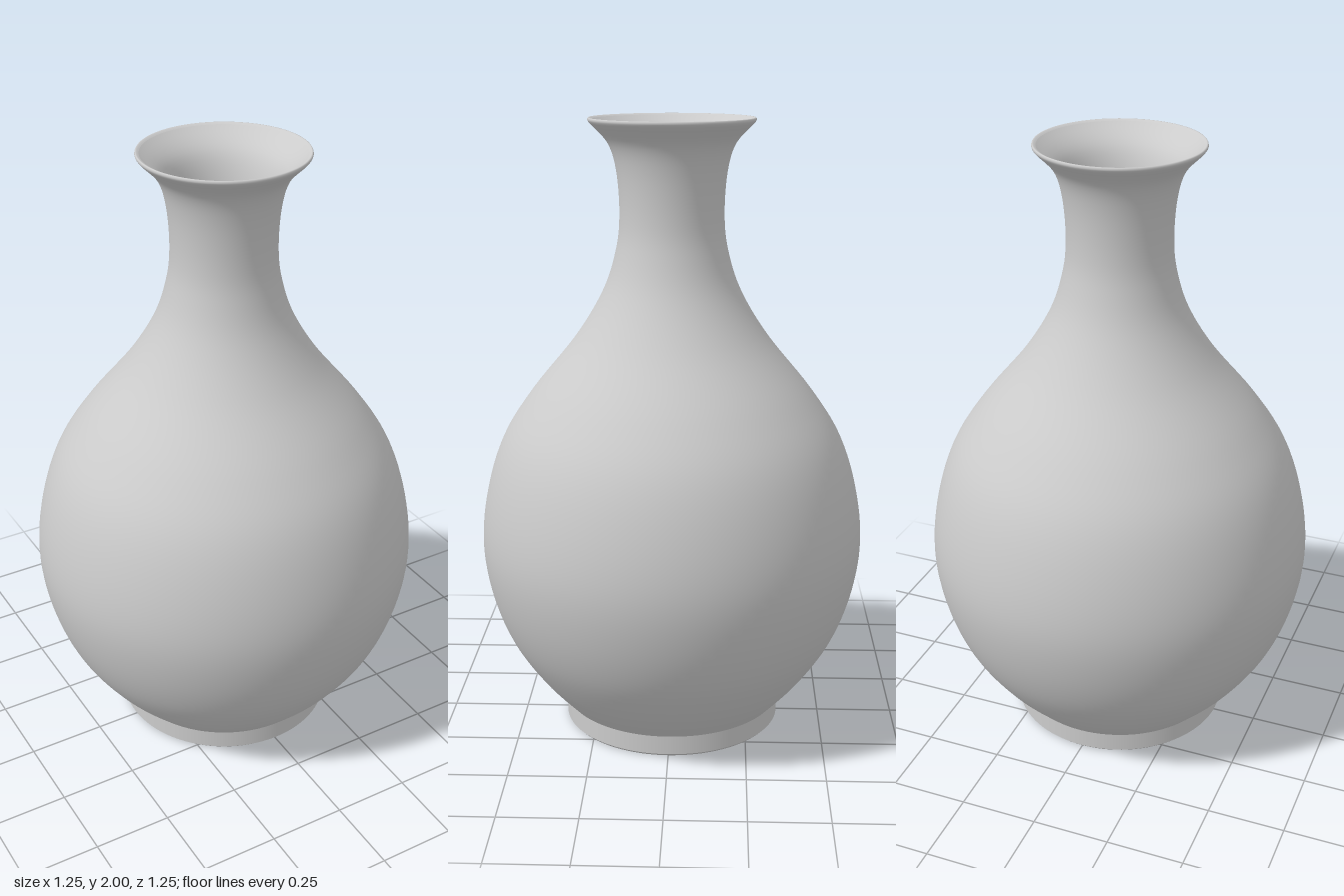
import * as THREE from 'three';

const SEGMENTS = 96;
const material = new THREE.MeshStandardMaterial({ color: 0xcccccc });
const toPoints = (list) => list.map(([r, y]) => new THREE.Vector2(r, y));
const smooth = (list, n) => new THREE.SplineCurve(toPoints(list)).getPoints(n);

// Revolves a profile; outer walls run upwards, inner walls downwards
function turned(name, profile) {
  const mesh = new THREE.Mesh(new THREE.LatheGeometry(profile, SEGMENTS), material);
  mesh.name = name;
  return mesh;
}

export function createModel() {
  const vase = new THREE.Group();
  vase.name = 'vase';

  // Pear-shaped belly, slim neck and flared mouth
  const outer = smooth([
    [0.358, 0.07], [0.455, 0.178], [0.545, 0.315], [0.602, 0.47], [0.625, 0.635],
    [0.605, 0.81], [0.55, 0.98], [0.455, 1.13], [0.31, 1.31], [0.22, 1.46],
    [0.178, 1.59], [0.166, 1.7], [0.174, 1.83], [0.2, 1.92], [0.257, 1.983],
  ], 90);
  vase.add(turned('body', outer));

  // Thin rounded lip
  vase.add(turned('lip', smooth([[0.257, 1.983], [0.263, 1.992], [0.26, 2], [0.25, 1.995]], 8)));

  // Hollow interior
  const inner = smooth([
    [0.25, 1.995], [0.182, 1.93], [0.15, 1.83], [0.139, 1.7], [0.151, 1.59],
    [0.195, 1.45], [0.285, 1.3], [0.43, 1.12], [0.525, 0.97], [0.578, 0.81],
    [0.598, 0.635], [0.575, 0.47], [0.518, 0.32], [0.43, 0.19], [0.345, 0.1],
  ], 80);
  vase.add(turned('innerWall', inner));
  vase.add(turned('innerFloor', toPoints([[0.345, 0.1], [0, 0.1]])));

  // Straight foot ring with a slightly eased lower edge and flat underside
  vase.add(turned('foot', toPoints([[0.358, 0.008], [0.358, 0.07]])));
  vase.add(turned('footBevel', toPoints([[0.35, 0], [0.358, 0.008]])));
  vase.add(turned('underside', toPoints([[0, 0], [0.35, 0]])));

  return vase;
}
